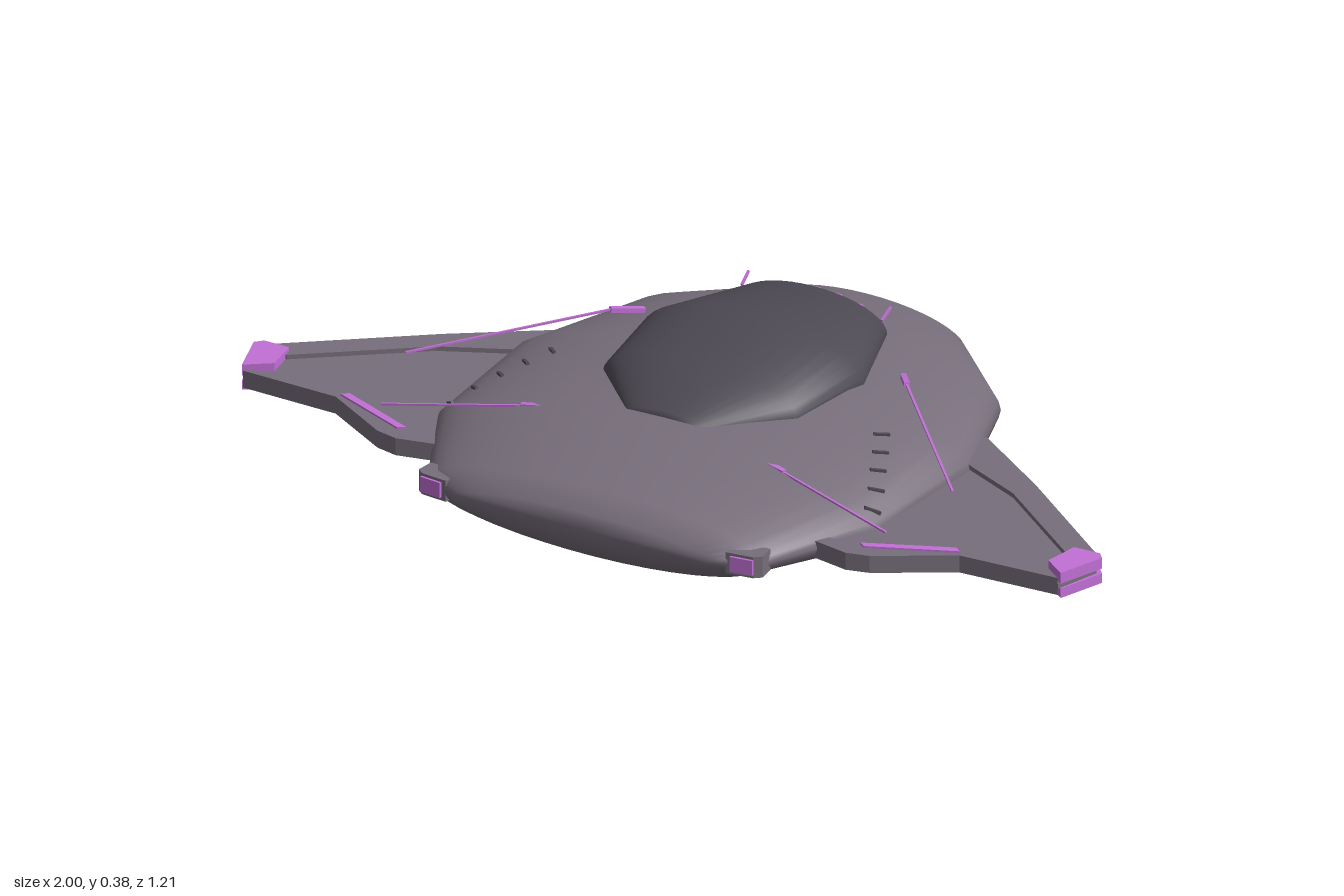
import * as THREE from 'three';

const mat = (name, color) => {
  const m = new THREE.MeshStandardMaterial({ color });
  m.name = name;
  return m;
};

// Closed loft of ellipses: each section is [z, halfWidth, centreY, halfHeight], from front to back
function loft(sections, n = 40) {
  const pos = [], idx = [];
  for (const [z, w, cy, h] of sections) {
    for (let j = 0; j < n; j++) {
      const a = (j / n) * Math.PI * 2;
      pos.push(w * Math.cos(a), cy + h * Math.sin(a), z);
    }
  }
  for (let i = 0; i < sections.length - 1; i++) {
    for (let j = 0; j < n; j++) {
      const k = (j + 1) % n, a = i * n, b = a + n;
      idx.push(a + j, b + j, b + k, a + j, b + k, a + k);
    }
  }
  const last = sections.length - 1, c = pos.length / 3;
  pos.push(0, sections[0][2], sections[0][0], 0, sections[last][2], sections[last][0]);
  for (let j = 0; j < n; j++) {
    const k = (j + 1) % n;
    idx.push(c, j, k, c + 1, last * n + k, last * n + j);
  }
  const g = new THREE.BufferGeometry();
  g.setAttribute('position', new THREE.Float32BufferAttribute(pos, 3));
  g.setIndex(idx);
  g.computeVertexNormals();
  return g;
}

// Horizontal plate from an outline of [x, z] points, between heights y0 and y1
function plate(points, y0, y1, side) {
  const shape = new THREE.Shape(points.map(([x, z]) => new THREE.Vector2(x * side, z)));
  const g = new THREE.ExtrudeGeometry(shape, { depth: y1 - y0, bevelEnabled: false });
  return g.rotateX(Math.PI / 2).translate(0, y1, 0);
}

export function createModel() {
  const hull = mat('hull grey', 0x776e7b);
  const dark = mat('canopy grey', 0x4d4953);
  const purple = mat('purple light', 0xc070d4);
  const red = mat('engine red', 0xd2553a);
  const model = new THREE.Group();

  const add = (name, geometry, material, parent = model) => {
    const m = new THREE.Mesh(geometry, material);
    m.name = name;
    parent.add(m);
    return m;
  };

  // Slim bar between two points
  const bar = (name, a, b, width, height, material, parent) => {
    const p = new THREE.Vector3(...a), q = new THREE.Vector3(...b);
    const m = add(name, new THREE.BoxGeometry(width, height, p.distanceTo(q)), material, parent);
    m.position.copy(p).add(q).multiplyScalar(0.5);
    m.lookAt(q);
    return m;
  };

  // Main hull
  const sections = [
    [0.605, 0.3, 0.165, 0.037], [0.55, 0.395, 0.158, 0.077], [0.3, 0.52, 0.162, 0.118],
    [-0.03, 0.54, 0.162, 0.133], [-0.32, 0.44, 0.162, 0.118], [-0.525, 0.235, 0.163, 0.071],
    [-0.607, 0.05, 0.155, 0.025],
  ];
  add('hull', loft(sections), hull);

  // Height of the hull's upper surface
  const hullTop = (x, z) => {
    const i = Math.max(1, sections.findIndex((s) => s[0] <= z));
    const p = sections[i - 1], q = sections[i], t = (p[0] - z) / (p[0] - q[0]);
    const [, w, cy, h] = p.map((v, k) => v + (q[k] - v) * t);
    return cy + h * Math.sqrt(Math.max(0, 1 - (x / w) ** 2));
  };

  // Canopy dome
  add('canopy', loft([
    [0.275, 0.095, 0.27, 0.025], [0.13, 0.23, 0.27, 0.085], [-0.078, 0.262, 0.27, 0.108],
    [-0.315, 0.175, 0.27, 0.066], [-0.39, 0.02, 0.265, 0.006],
  ]), dark);

  // Row of small slits across the back of the canopy
  for (let i = -2; i <= 2; i++) {
    const x = i * 0.05;
    const y = 0.27 + 0.055 * Math.sqrt(1 - (x / 0.15) ** 2);
    add('canopySlit', new THREE.BoxGeometry(0.02, 0.006, 0.006), purple).position.set(x, y, -0.328);
  }

  // Belly engine: neck, rim and shallow glowing dome
  add('engineNeck', new THREE.CylinderGeometry(0.13, 0.13, 0.03, 40), dark).position.set(0, 0.035, 0.04);
  const rim = [[0.135, 0.013], [0.155, 0.011], [0.168, 0.016], [0.168, 0.023], [0.155, 0.027], [0, 0.027]];
  add('engineRim', new THREE.LatheGeometry(rim.map((p) => new THREE.Vector2(...p)), 40), hull)
    .position.z = 0.04;
  const dome = [[0, 0], [0.06, 0.002], [0.11, 0.007], [0.14, 0.014]];
  add('engineGlow', new THREE.LatheGeometry(dome.map((p) => new THREE.Vector2(...p)), 40), red)
    .position.z = 0.04;

  for (const s of [1, -1]) {
    const wing = new THREE.Group();
    wing.name = s > 0 ? 'leftWing' : 'rightWing';
    model.add(wing);

    // Wing panel
    add('wingPanel', plate([[0.3, -0.15], [0.5, -0.14], [0.95, 0.2], [0.975, 0.22], [0.95, 0.325],
      [0.73, 0.335], [0.53, 0.43], [0.3, 0.38]], 0.145, 0.168, s), hull, wing);

    // Paired rails along the leading edge, with a dark strip between
    const rail = [[0.42, -0.16], [0.5, -0.165], [0.7, -0.022], [0.985, 0.205], [0.92, 0.225], [0.68, 0.035], [0.42, -0.09]];
    add('upperRail', plate(rail, 0.162, 0.178, s), hull, wing);
    add('lowerRail', plate(rail, 0.133, 0.15, s), hull, wing);
    add('railGap', plate([[0.42, -0.15], [0.5, -0.15], [0.96, 0.2], [0.9, 0.24], [0.42, -0.08]], 0.15, 0.162, s), dark, wing);

    // Trailing edge beam with its light strip
    add('trailingBeam', plate([[0.4, 0.39], [0.5, 0.405], [0.72, 0.31], [0.94, 0.315], [0.96, 0.33],
      [0.735, 0.34], [0.58, 0.435], [0.53, 0.447], [0.4, 0.42]], 0.138, 0.176, s), hull, wing);
    add('trailingLight', plate([[0.535, 0.397], [0.715, 0.318], [0.73, 0.33], [0.55, 0.408]], 0.17, 0.18, s), purple, wing);

    // Wing tip: two light blocks around a grey core
    const tip = [[0.925, 0.205], [0.985, 0.203], [1, 0.22], [0.965, 0.325], [0.912, 0.285]];
    add('upperTipLight', plate(tip, 0.162, 0.186, s), purple, wing);
    add('lowerTipLight', plate(tip, 0.13, 0.151, s), purple, wing);
    add('tipCore', plate([[0.92, 0.21], [0.98, 0.21], [0.99, 0.225], [0.96, 0.328], [0.92, 0.32]], 0.151, 0.162, s), hull, wing);

    // Long thin antennae with thicker roots
    bar('rearAntenna', [s * 0.645, 0.246, 0.215], [s * 0.34, 0.287, -0.11], 0.005, 0.004, purple);
    bar('rearAntennaRoot', [s * 0.35, 0.286, -0.1], [s * 0.305, 0.272, -0.16], 0.012, 0.01, purple);
    bar('frontAntenna', [s * 0.595, 0.216, 0.395], [s * 0.3, 0.252, 0.318], 0.005, 0.004, purple);
    bar('frontAntennaRoot', [s * 0.31, 0.251, 0.32], [s * 0.245, 0.257, 0.305], 0.012, 0.01, purple);

    // Pin beside the back of the canopy
    bar('canopyPin', [s * 0.165, 0.3, -0.31], [s * 0.168, 0.318, -0.342], 0.005, 0.005, purple);

    // Curved row of vents on the shoulder
    for (const [x, z] of [[0.388, 0.065], [0.418, 0.12], [0.445, 0.175], [0.473, 0.23], [0.497, 0.285]]) {
      const x0 = x - 0.012, x1 = x + 0.012;
      bar('vent', [s * x0, hullTop(x0, z + 0.012), z + 0.012], [s * x1, hullTop(x1, z - 0.012), z - 0.012],
        0.007, 0.008, dark);
    }

    // Nose lamp: grey housing with a light on the front
    add('lampHousing', plate([[0.32, 0.53], [0.4, 0.525], [0.405, 0.565], [0.39, 0.578], [0.33, 0.585]],
      0.138, 0.185, s), hull);
    const lamp = add('lampLight', new THREE.BoxGeometry(0.05, 0.034, 0.009), purple);
    lamp.position.set(s * 0.366, 0.162, 0.582);
    lamp.rotation.y = s * 0.12;
  }

  return model;
}
